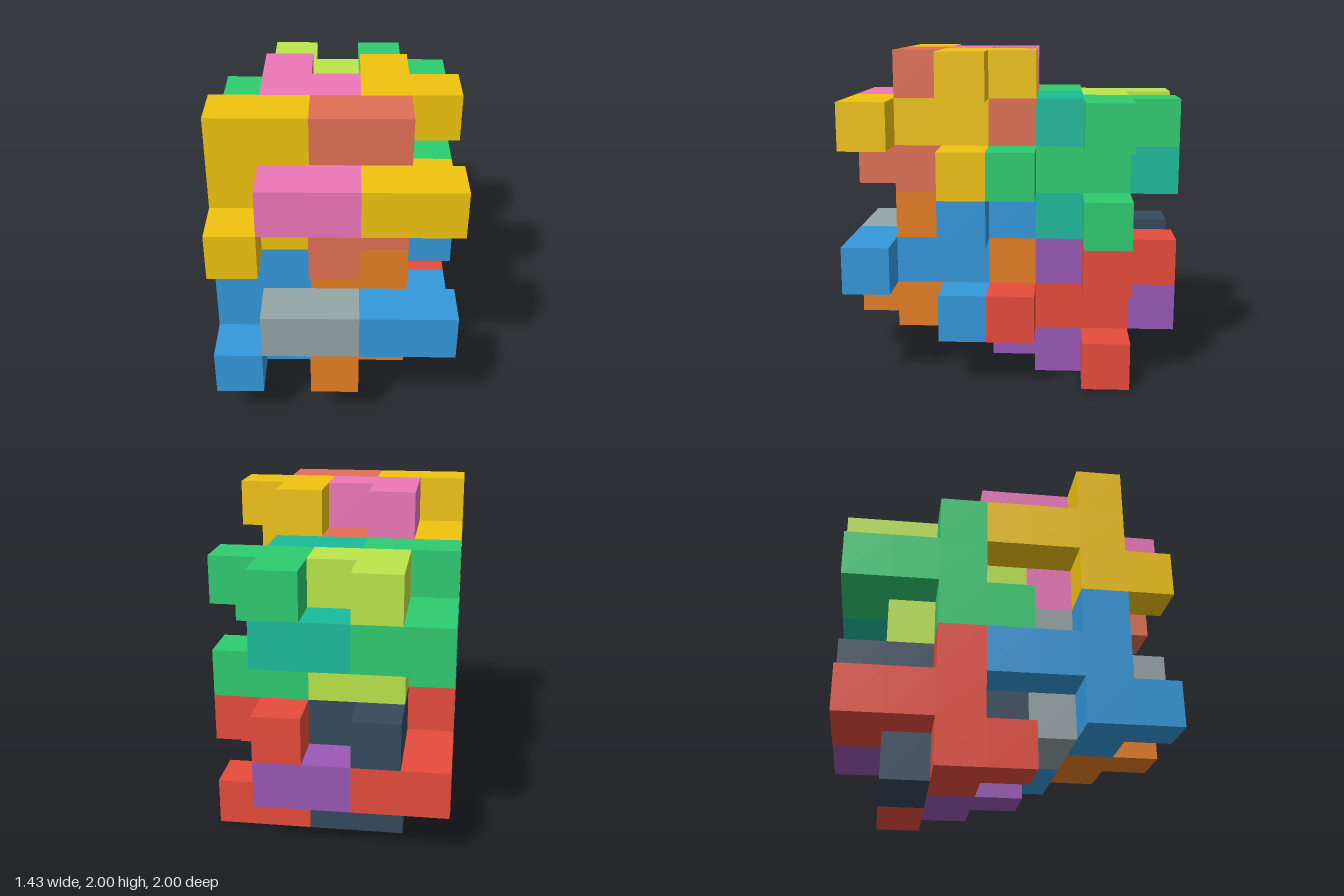
import * as THREE from 'three';
import { mergeGeometries } from 'three/addons/utils/BufferGeometryUtils.js';

const U = 2 / 7; // edge of one cube

// Interlocking nine-cube piece: an S-shaped spine with three side arms, as [x, y, z] cells.
const hookDown = [
  [0, 2, 2], [0, 1, 2], [0, 1, 1], [0, 1, 0], [0, 0, 2], [0, 0, 3], // spine
  [1, 2, 2], [1, 1, 0], [1, 0, 2],                                  // arms
];
// The second kind is the same piece turned half way round the x axis.
const hookUp = hookDown.map(([x, y, z]) => [x, 2 - y, 3 - z]);

// Outer skin of a group of cells: one square wherever a cell has no neighbour.
function pieceGeometry(cells) {
  const filled = new Set(cells.map(String));
  const axes = [[1, 0, 0], [-1, 0, 0], [0, 1, 0], [0, -1, 0], [0, 0, 1], [0, 0, -1]];
  const front = new THREE.Vector3(0, 0, 1);
  const faces = [];
  for (const cell of cells) {
    for (const dir of axes) {
      if (filled.has(String(cell.map((v, i) => v + dir[i])))) continue;
      const turn = new THREE.Quaternion().setFromUnitVectors(front, new THREE.Vector3(...dir));
      const centre = cell.map((v, i) => (v + 0.5 + dir[i] / 2) * U);
      faces.push(new THREE.PlaneGeometry(U, U).applyQuaternion(turn).translate(...centre));
    }
  }
  return mergeGeometries(faces);
}

export function createModel() {
  const model = new THREE.Group();
  model.name = 'interlockingBlocks';
  const downGeometry = pieceGeometry(hookDown);
  const upGeometry = pieceGeometry(hookUp);

  // Four equal clusters, offset in whole cubes; colours: end pieces, middle up, middle down.
  const clusters = [
    { name: 'frontUpperCluster', y: 4, z: 3, colors: [0xf1c40f, 0xed77ba, 0xe17055] },
    { name: 'frontLowerCluster', y: 1, z: 3, colors: [0x3498db, 0x95a5a6, 0xe67e22] },
    { name: 'backUpperCluster', y: 3, z: 0, colors: [0x2ecc71, 0xbce64a, 0x1abc9c] },
    { name: 'backLowerCluster', y: 0, z: 0, colors: [0xe74c3c, 0x34495e, 0x9b59b6] },
  ];

  for (const { name, y, z, colors } of clusters) {
    const cluster = new THREE.Group();
    cluster.name = name;
    cluster.position.set(-2.5 * U, y * U, (z - 3.5) * U);
    const [end, middleUp, middleDown] = colors.map(
      (color) => new THREE.MeshStandardMaterial({ color }));
    // Pieces alternate along x, each one cube further on.
    const pieces = [
      ['rightEndPiece', downGeometry, end],
      ['middleUpPiece', upGeometry, middleUp],
      ['middleDownPiece', downGeometry, middleDown],
      ['leftEndPiece', upGeometry, end],
    ];
    pieces.forEach(([pieceName, geometry, material], i) => {
      const piece = new THREE.Mesh(geometry, material);
      piece.name = pieceName;
      piece.position.x = i * U;
      cluster.add(piece);
    });
    model.add(cluster);
  }
  return model;
}
